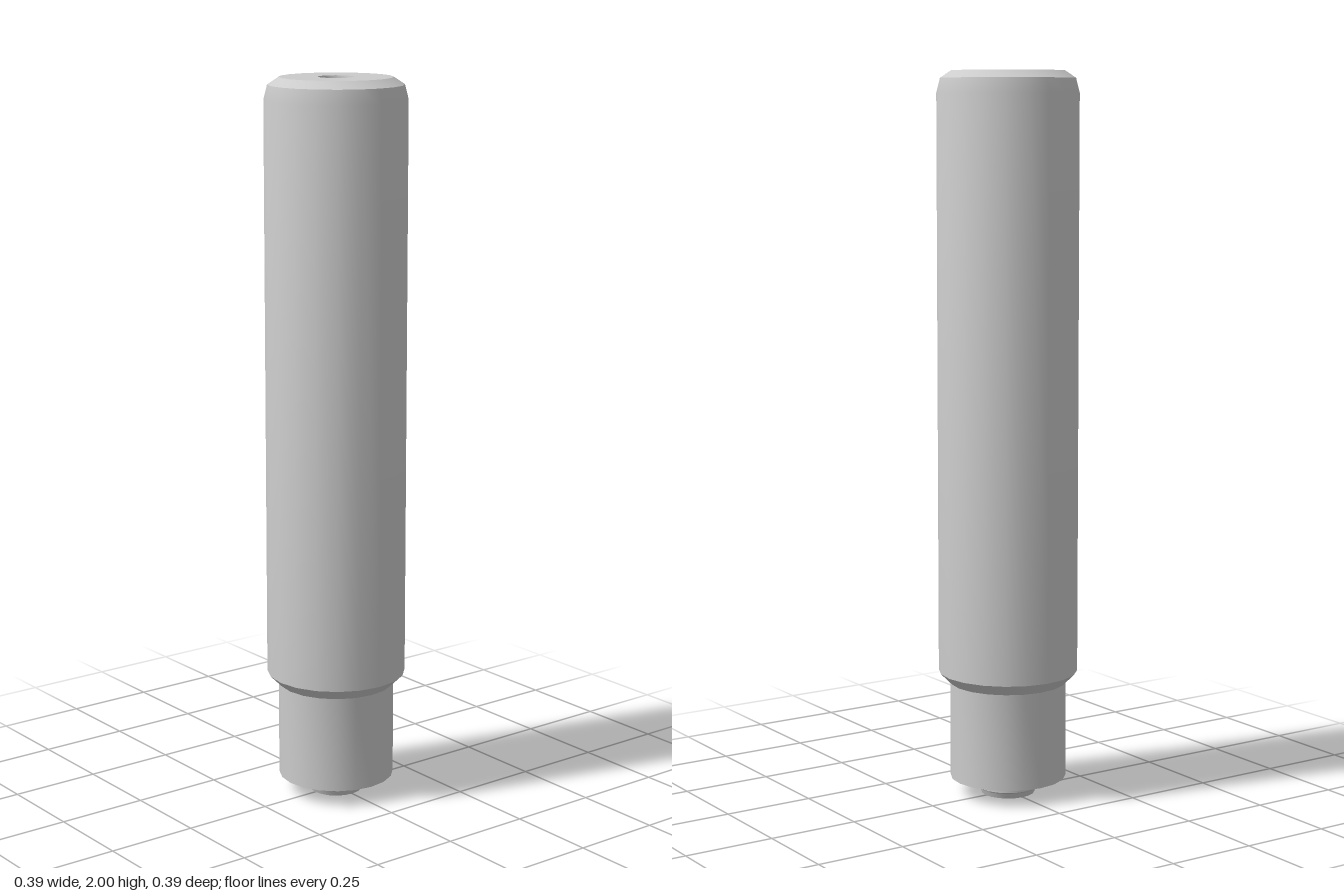
import * as THREE from 'three';
import { toCreasedNormals } from 'three/addons/utils/BufferGeometryUtils.js';

const material = new THREE.MeshStandardMaterial({ color: 0xcccccc });

// Turned part from a [radius, height] profile; small bends stay smooth, larger ones sharp
function turned(name, profile, sides = 20) {
  const points = profile.map(([r, y]) => new THREE.Vector2(r, y));
  const geometry = toCreasedNormals(new THREE.LatheGeometry(points, sides), THREE.MathUtils.degToRad(25));
  const mesh = new THREE.Mesh(geometry, material);
  mesh.name = name;
  return mesh;
}

export function createModel() {
  const group = new THREE.Group();
  group.name = 'steppedPin';

  // Chamfered button at the foot
  group.add(turned('tipButton', [[0, 0], [0.074, 0], [0.08, 0.015], [0.089, 0.02], [0.089, 0.048]]));

  // Narrow neck with a flat underside
  group.add(turned('neck', [[0, 0.048], [0.161, 0.048], [0.161, 0.318]]));

  // Main barrel: tapered shoulder below, two-step bevel above
  group.add(turned('barrel', [
    [0.161, 0.318], [0.193, 0.35], [0.193, 1.94], [0.183, 1.98], [0.153, 2], [0.049, 2],
  ]));

  // Shallow tapered socket sunk into the top
  group.add(turned('topSocket', [[0.049, 2], [0.042, 1.96], [0, 1.96]]));

  return group;
}
